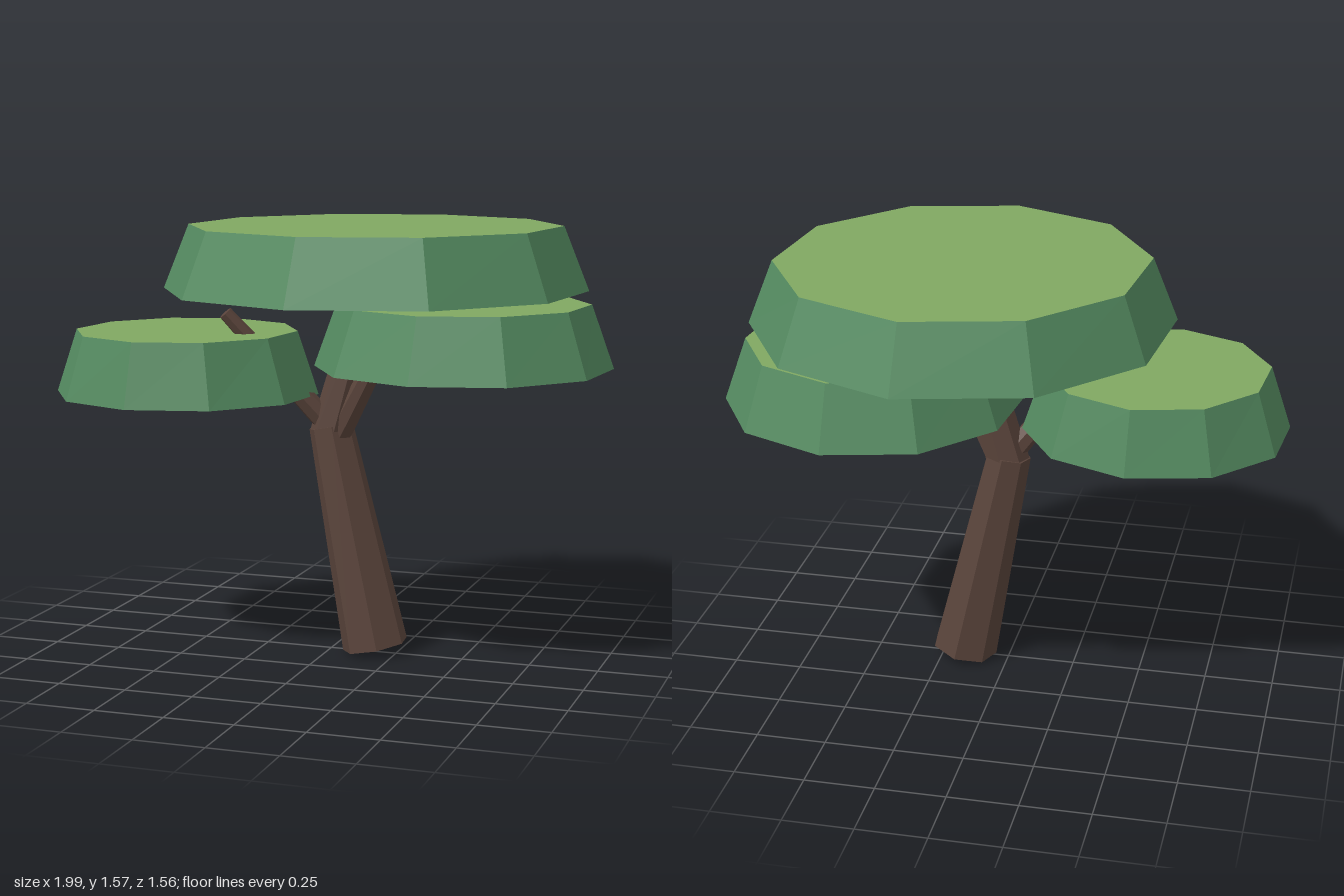
import * as THREE from 'three';

const mat = (color) => new THREE.MeshStandardMaterial({ color, flatShading: true });

export function createModel() {
  const tree = new THREE.Group();
  tree.name = 'tree';
  const bark = mat(0x5a443b), leaf = mat(0x548a60), leafTop = mat(0x80a862);

  // Tapered seven-sided limb from point a to point b
  function limb(name, a, b, ra, rb) {
    const from = new THREE.Vector3(...a), to = new THREE.Vector3(...b);
    const dir = to.clone().sub(from);
    const geo = new THREE.CylinderGeometry(rb, ra, dir.length(), 7, 1, false, THREE.MathUtils.degToRad(71.3));
    const mesh = new THREE.Mesh(geo, bark);
    mesh.name = name;
    mesh.position.copy(from).add(to).multiplyScalar(0.5);
    mesh.quaternion.setFromUnitVectors(new THREE.Vector3(0, 1, 0), dir.normalize());
    tree.add(mesh);
  }

  // Flat ten-sided foliage slab: bottom radii rx, rz shrink by tx, tz at the top
  function canopy(name, [x, y, z], rx, rz, tx, tz) {
    const h = 0.23;
    const geo = new THREE.CylinderGeometry(1, 1, h, 10, 1, false, THREE.MathUtils.degToRad(31));
    const p = geo.attributes.position;
    for (let i = 0; i < p.count; i++) {
      const top = p.getY(i) > 0;
      p.setX(i, p.getX(i) * rx * (top ? tx : 1));
      p.setZ(i, p.getZ(i) * rz * (top ? tz : 1));
    }
    geo.computeVertexNormals();
    const mesh = new THREE.Mesh(geo, [leaf, leafTop, leaf]);
    mesh.name = name;
    mesh.position.set(x, y + h / 2, z);
    tree.add(mesh);
  }

  // Leaning trunk and its three branches
  limb('trunk', [0.17, 0.028, 0], [0, 0.84, 0.005], 0.123, 0.082);
  limb('mainBranch', [0, 0.8, 0.005], [0.165, 1.4, 0.01], 0.08, 0.057);
  limb('leftBranch', [0.03, 0.8, 0.02], [0.3, 1.28, 0.11], 0.048, 0.03);
  limb('rightBranch', [0, 0.83, 0], [-0.345, 1.255, 0.17], 0.045, 0.026);

  // Foliage layers
  canopy('topCanopy', [0.163, 1.34, 0], 0.762, 0.783, 0.88, 0.872);
  canopy('leftCanopy', [0.468, 1.06, -0.095], 0.538, 0.552, 0.847, 0.855);
  canopy('rightCanopy', [-0.525, 0.95, 0.098], 0.485, 0.475, 0.84, 0.88);

  return tree;
}
